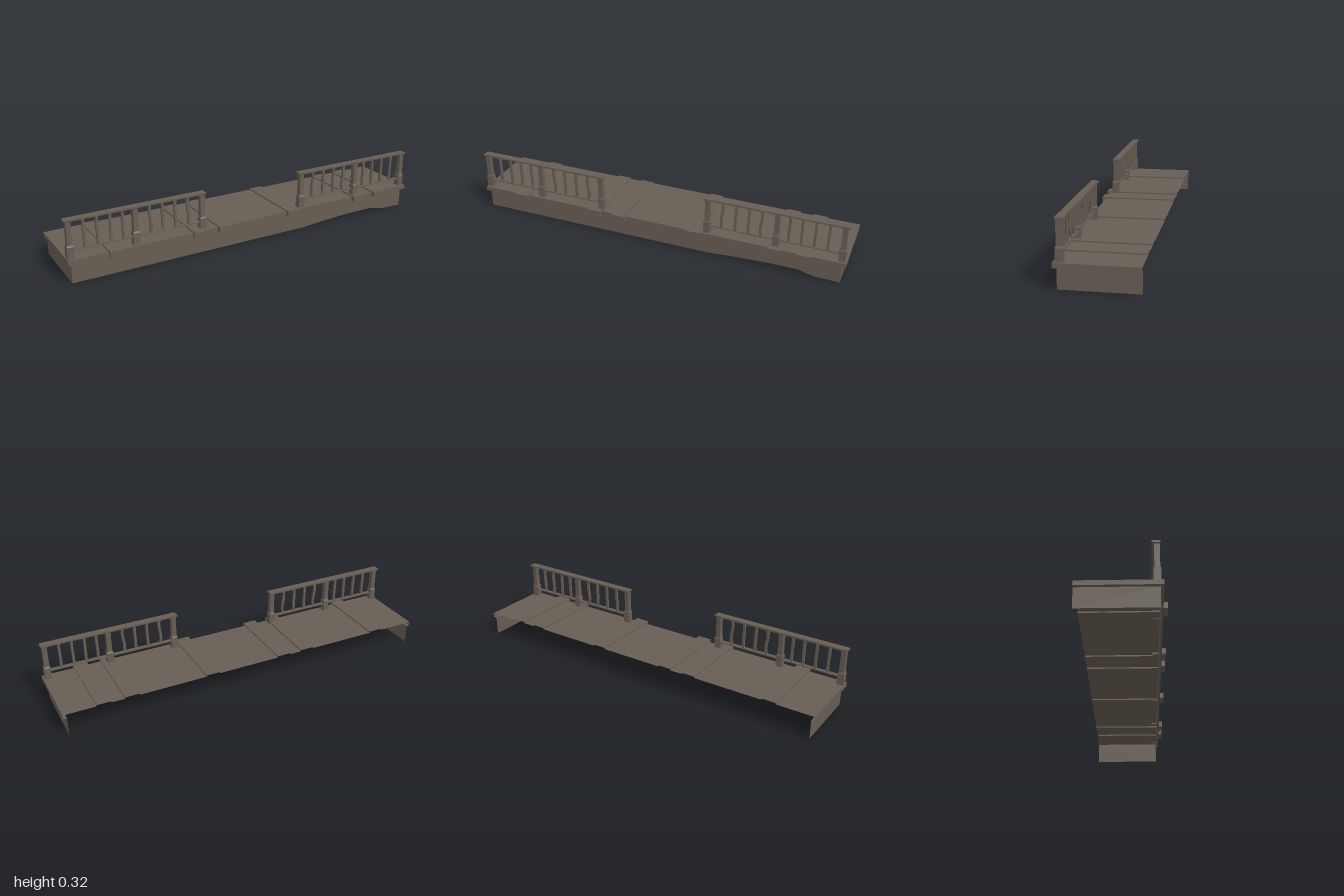
import * as THREE from 'three';

// Deck and skirts are open sheets, so both faces show
const wood = new THREE.MeshStandardMaterial({ color: 0x675d53, side: THREE.DoubleSide });
wood.name = 'weathered wood';

function add(parent, name, geometry) {
  const mesh = new THREE.Mesh(geometry, wood);
  mesh.name = name;
  parent.add(mesh);
  return mesh;
}

// Box given by its min and max corners
function block(parent, name, x0, x1, y0, y1, z0, z1) {
  const mesh = add(parent, name, new THREE.BoxGeometry(x1 - x0, y1 - y0, z1 - z0));
  mesh.position.set((x0 + x1) / 2, (y0 + y1) / 2, (z0 + z1) / 2);
}

// Folded sheet: a [z, y] profile swept from x0 to x1
function strip(parent, name, x0, x1, profile) {
  const verts = [];
  for (let i = 0; i + 1 < profile.length; i++) {
    const [[z0, y0], [z1, y1]] = [profile[i], profile[i + 1]];
    const a = [x0, y0, z0], b = [x1, y0, z0], c = [x1, y1, z1], d = [x0, y1, z1];
    verts.push(...a, ...d, ...c, ...a, ...c, ...b);
  }
  const geometry = new THREE.BufferGeometry();
  geometry.setAttribute('position', new THREE.Float32BufferAttribute(verts, 3));
  geometry.computeVertexNormals();
  add(parent, name, geometry);
}

// Upright sheet facing left (side 1) or right (side -1)
function wall(parent, name, side, x, y0, y1, z0, z1) {
  const geometry = new THREE.PlaneGeometry(z1 - z0, y1 - y0).rotateY(side * Math.PI / 2);
  add(parent, name, geometry).position.set(x, (y0 + y1) / 2, (z0 + z1) / 2);
}

// Square turned post from [halfWidth, y] pairs, with faceted sides
function squareTurned(profile) {
  const points = profile.map(([h, y]) => new THREE.Vector2(h * Math.SQRT2, y));
  const geometry = new THREE.LatheGeometry(points, 4).rotateY(Math.PI / 4).toNonIndexed();
  geometry.computeVertexNormals();
  return geometry;
}

// Thin bar, bent sideways into a gentle S
function balusterGeometry(height, bend) {
  const geometry = new THREE.BoxGeometry(0.012, height, 0.012, 1, 6, 1);
  const pos = geometry.attributes.position;
  for (let i = 0; i < pos.count; i++) {
    const t = pos.getY(i) / height;
    pos.setX(i, pos.getX(i) + bend * Math.sin(t * Math.PI * 2));
  }
  geometry.computeVertexNormals();
  return geometry;
}

function railing(side, shift) {
  const group = new THREE.Group();
  group.name = side > 0 ? 'leftRailing' : 'rightRailing';
  const z = 0.152;
  const at = (x) => side * x + shift;

  // Posts with a stout base and narrow shaft
  for (const x of [0.978, 0.652, 0.296]) {
    const post = add(group, 'railingPost', squareTurned([
      [0, 0.12], [0.0165, 0.12], [0.0165, 0.183], [0.0145, 0.187], [0.0128, 0.191],
      [0.012, 0.25], [0.0125, 0.305], [0.0155, 0.308], [0, 0.308],
    ]));
    post.position.set(at(x), 0, z);
  }

  // Hand rail and lower rail
  const ends = [at(0.278), at(0.998)].sort((a, b) => a - b);
  block(group, 'handRail', ends[0], ends[1], 0.308, 0.317, 0.13, 0.167);
  block(group, 'lowerRail', ends[0] + 0.015, ends[1] - 0.015, 0.16, 0.166, 0.142, 0.162);

  // Balusters, some warped
  [0.905, 0.84, 0.775, 0.713, 0.573, 0.509, 0.442, 0.372].forEach((x, i) => {
    const bend = [0.001, 0.001, 0, 0.001, 0.004, 0.001, 0.001, 0.004][i];
    const bar = add(group, 'baluster', balusterGeometry(0.145, side * bend));
    bar.position.set(at(x), 0.2365, z);
  });
  return group;
}

export function createModel() {
  const model = new THREE.Group();
  model.name = 'boardwalk';
  const back = -0.2;

  // Raised cross planks, open below and behind, with deck sheets between them
  let deckStart = -1;
  const deckSection = (x0, x1) => strip(model, 'deckSection', x0, x1,
    [[back, 0.123], [0.18, 0.123], [0.18, 0.1], [0.165, 0.1]]);
  for (const x of [-0.765, -0.325, -0.185, 0.225, 0.655, 0.797]) {
    const x0 = x - 0.037, x1 = x + 0.037;
    deckSection(deckStart, x0);
    deckStart = x1;
    strip(model, 'crossPlank', x0, x1,
      [[back, 0.13], [0.2, 0.13], [0.2, 0.1], [0.165, 0.1]]);
    for (const side of [-1, 1]) {
      const edge = side < 0 ? x0 : x1;
      wall(model, 'plankStep', side, edge, 0.123, 0.13, back, 0.18);
      wall(model, 'plankEnd', side, edge, 0.1, 0.13, 0.18, 0.2);
    }
  }
  deckSection(deckStart, 1);

  // Deck end lips and the narrow soffits beneath them
  wall(model, 'leftDeckLip', 1, 1, 0.1, 0.123, back, 0.18);
  wall(model, 'rightDeckLip', -1, -1, 0.1, 0.123, back, 0.18);
  const soffit = [[0.165, 0.1], [back, 0.1]];
  strip(model, 'leftSoffit', 0.98, 1, soffit);
  strip(model, 'rightSoffit', -1, -0.983, soffit);

  // Front skirt with a shallow rise cut from its lower edge
  const outline = [
    [-0.983, 0], [0.3, 0.002], [0.45, 0.013], [0.62, 0.021], [0.77, 0.022],
    [0.85, 0.003], [0.98, 0], [0.98, 0.1], [-0.983, 0.1],
  ];
  const shape = new THREE.Shape(outline.map(([x, y]) => new THREE.Vector2(x, y)));
  add(model, 'frontSkirt', new THREE.ShapeGeometry(shape)).position.z = 0.165;

  // End skirts; the back is left open
  wall(model, 'leftEndSkirt', 1, 0.98, 0, 0.1, back, 0.165);
  wall(model, 'rightEndSkirt', -1, -0.983, 0, 0.1, back, 0.165);

  model.add(railing(1, -0.004), railing(-1, -0.002));
  return model;
}
